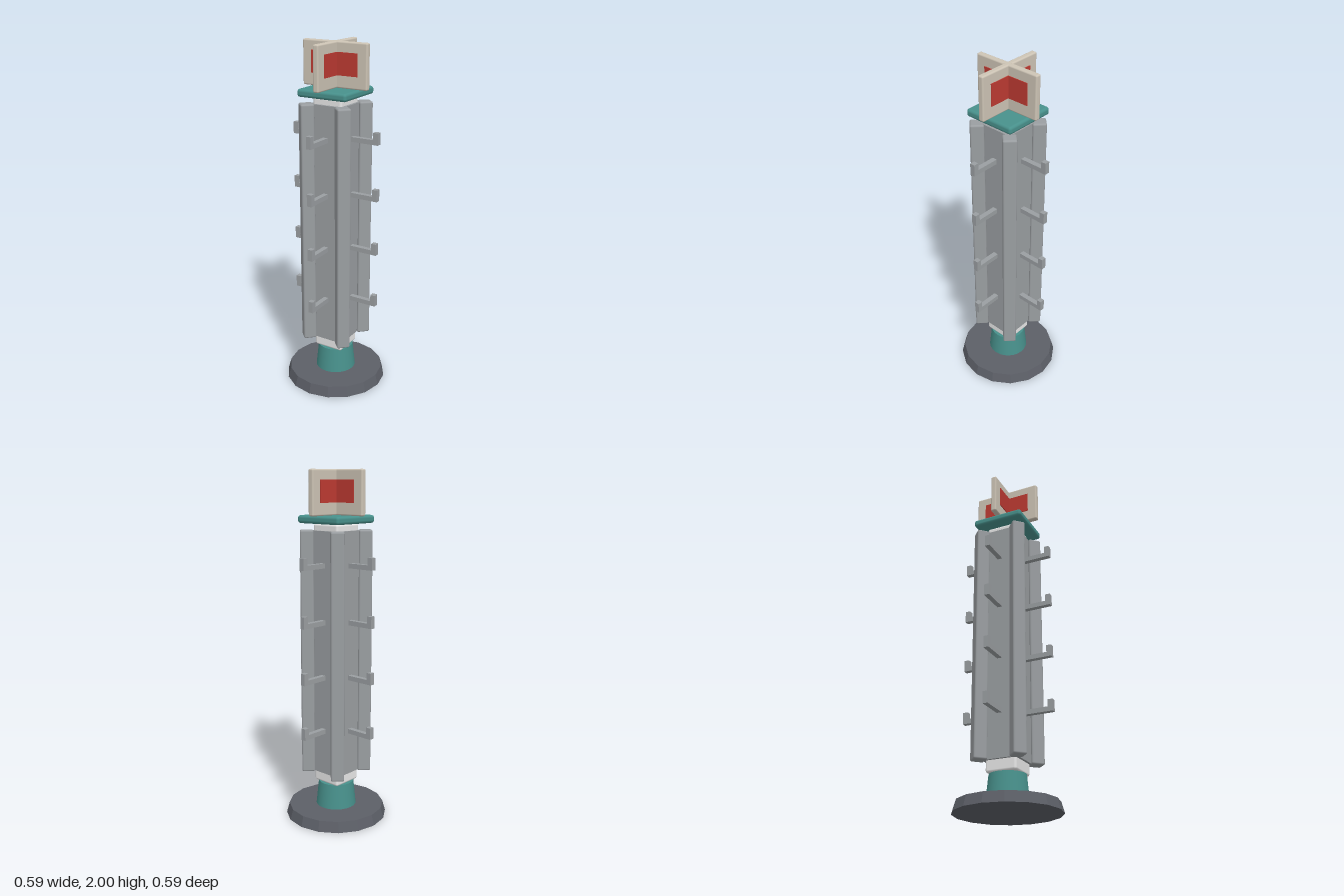
import * as THREE from 'three';
import { RoundedBoxGeometry } from 'three/addons/geometries/RoundedBoxGeometry.js';

const material = (name, color) => {
  const m = new THREE.MeshStandardMaterial({ color });
  m.name = name;
  return m;
};

export function createModel() {
  const charcoal = material('charcoal', 0x5c5f67);
  const teal = material('teal', 0x48918c);
  const grey = material('grey', 0x9a9ea1);
  const white = material('white', 0xf8f8f8);
  const cream = material('cream', 0xcdc4b5);
  const red = material('red', 0xbd3a32);

  const model = new THREE.Group();
  model.name = 'displayStand';

  const add = (parent, name, geometry, mat, x, y, z) => {
    const mesh = new THREE.Mesh(geometry, mat);
    mesh.name = name;
    mesh.position.set(x, y, z);
    parent.add(mesh);
    return mesh;
  };
  const box = (w, h, d) => new THREE.BoxGeometry(w, h, d);
  const rounded = (w, h, d, r) => new RoundedBoxGeometry(w, h, d, 2, r);

  // Faceted floor disc
  const disc = new THREE.CylinderGeometry(0.278, 0.295, 0.06, 16).toNonIndexed();
  disc.computeVertexNormals();
  add(model, 'base', disc, charcoal, 0, 0.03, 0);

  // Tapered pedestal and the inner column
  add(model, 'pedestal', new THREE.CylinderGeometry(0.102, 0.117, 0.145, 24), teal, 0, 0.1325, 0);
  add(model, 'innerColumn', rounded(0.18, 1.505, 0.18, 0.014), white, 0, 0.9575, 0);

  // Four identical sides: panel, corner post and a row of hooks
  const bottom = 0.268, top = 1.675;
  const height = top - bottom, middle = (top + bottom) / 2;
  for (let i = 0; i < 4; i++) {
    const side = new THREE.Group();
    side.name = 'side' + (i + 1);
    side.rotation.y = i * Math.PI / 2;
    model.add(side);

    add(side, 'panel', box(0.22, height - 0.006, 0.03), grey, 0, middle, 0.09);

    const post = add(side, 'cornerPost', rounded(0.075, height, 0.075, 0.01), grey, 0.115, middle, 0.115);
    post.rotation.y = Math.PI / 4;

    for (let k = 0; k < 4; k++) {
      const y = 0.519 + k * 0.3173;
      const hook = new THREE.Group();
      hook.name = 'hook' + (k + 1);
      hook.position.y = y;
      side.add(hook);
      add(hook, 'hookArm', box(0.029, 0.027, 0.142), grey, 0, 0.0135, 0.171);
      add(hook, 'hookLip', box(0.029, 0.067, 0.029), grey, 0, 0.0335, 0.2565);
    }
  }

  // Top plate
  add(model, 'topPlate', rounded(0.305, 0.044, 0.305, 0.016), teal, 0, 1.733, 0);

  // Crossed header boards with thin coloured faces
  for (let i = 0; i < 2; i++) {
    const sign = new THREE.Group();
    sign.name = 'headerBoard' + (i + 1);
    sign.rotation.y = i * Math.PI / 2;
    model.add(sign);
    add(sign, 'board', rounded(0.4, 0.246, 0.034, 0.009), cream, 0, 1.877, 0);
    for (const s of [-1, 1]) {
      add(sign, 'boardFace', box(0.287, 0.122, 0.006), red, 0, 1.884, s * 0.0185);
    }
  }

  return model;
}
